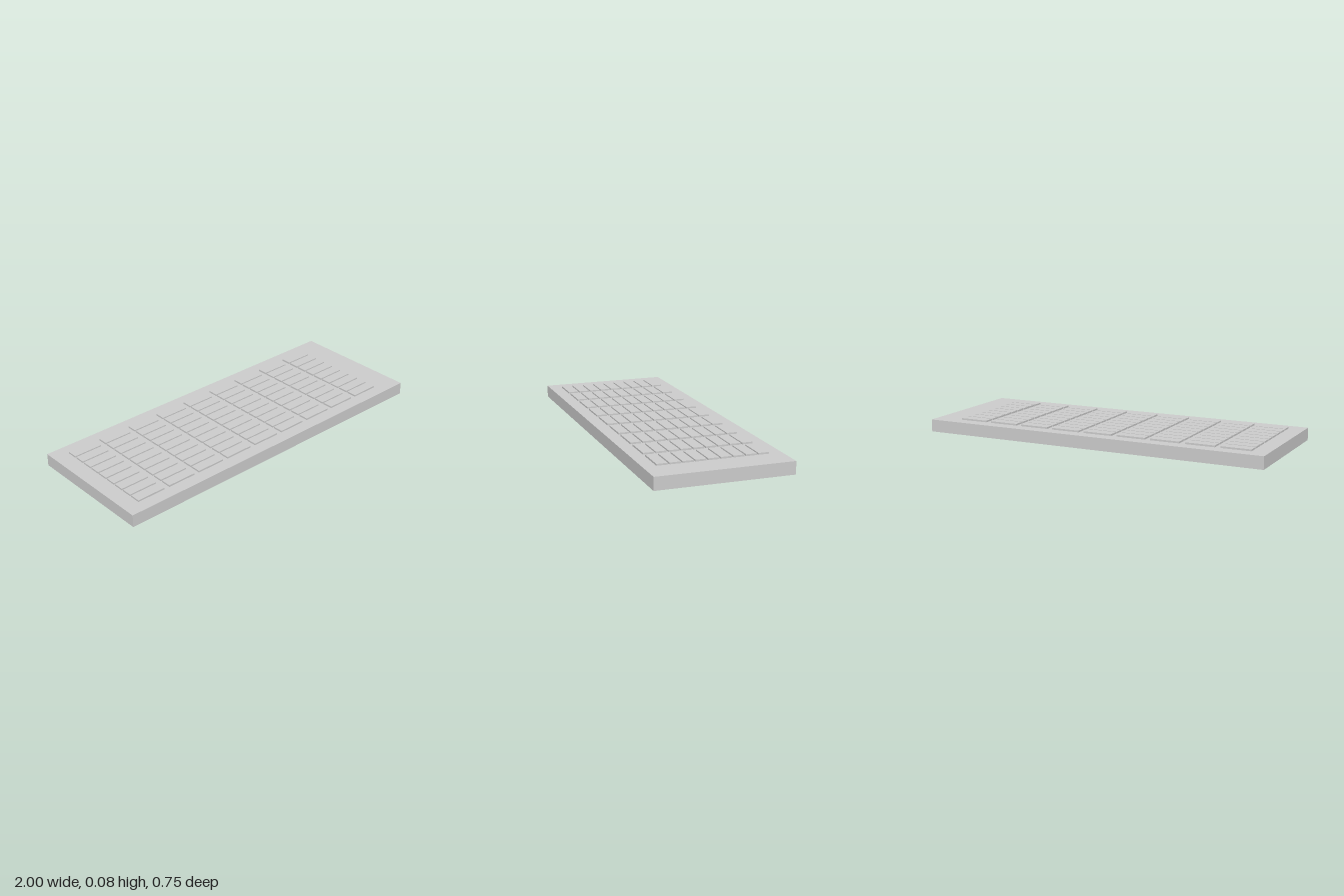
import * as THREE from 'three';

export function createModel() {
  const group = new THREE.Group();
  const material = new THREE.MeshStandardMaterial({ color: 0xcccccc, flatShading: true });

  const addBox = (parent, name, [w, h, d], [x, y, z]) => {
    const mesh = new THREE.Mesh(new THREE.BoxGeometry(w, h, d), material);
    mesh.name = name;
    mesh.position.set(x, y, z);
    parent.add(mesh);
  };

  // Flat slab
  const baseHeight = 0.07;
  addBox(group, 'base', [2, baseHeight, 0.746], [0, baseHeight / 2, 0]);

  // 9 x 9 grid of low raised keys, set slightly towards the right end
  const keys = new THREE.Group();
  keys.name = 'keys';
  group.add(keys);
  const count = 9, pitchX = 0.198, pitchZ = 0.068, offsetX = -0.034;
  const keyHeight = 0.0095;
  for (let row = 0; row < count; row++) {
    for (let col = 0; col < count; col++) {
      addBox(keys, 'key', [0.166, keyHeight, 0.059], [
        offsetX + (col - (count - 1) / 2) * pitchX,
        baseHeight + keyHeight / 2,
        (row - (count - 1) / 2) * pitchZ,
      ]);
    }
  }
  return group;
}
